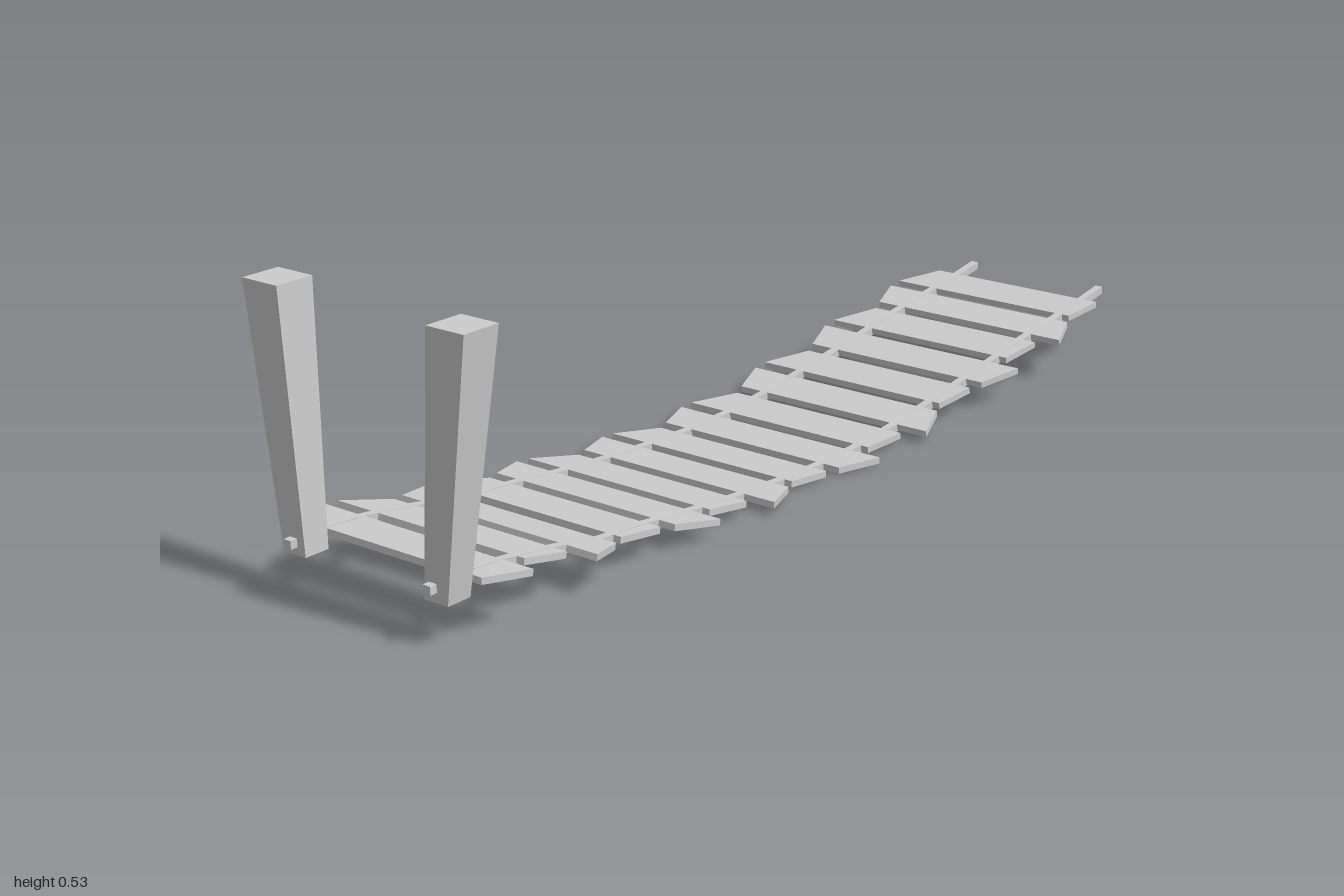
import * as THREE from 'three';

const material = new THREE.MeshStandardMaterial({ color: 0xcccccc, flatShading: true });

// Sagging line of the bridge, as (z, y)
const sag = [
  [-1, 0.116], [-0.89, 0.1], [-0.69, 0.077], [-0.6, 0.063], [-0.4, 0.036], [-0.2, 0.014], [-0.05, 0.008],
  [0.1, 0.012], [0.3, 0.026], [0.5, 0.048], [0.61, 0.056], [0.7, 0.074], [0.82, 0.092], [0.91, 0.1], [1, 0.101],
];
const curve = new THREE.SplineCurve(sag.map(([z, y]) => new THREE.Vector2(z, y)));
const line = curve.getPoints(56);

function heightAt(z) {
  const i = Math.max(1, line.findIndex((p) => p.x >= z));
  const a = line[i - 1], b = line[i];
  return a.y + ((b.y - a.y) * (z - a.x)) / (b.x - a.x);
}

function addMesh(parent, geometry, name) {
  const mesh = new THREE.Mesh(geometry, material);
  mesh.name = name;
  parent.add(mesh);
  return mesh;
}

// Square rope following the sag
function ropeGeometry(width, height) {
  const outline = [
    ...line.map((p) => new THREE.Vector2(p.x, p.y - height / 2)),
    ...line.map((p) => new THREE.Vector2(p.x, p.y + height / 2)).reverse(),
  ];
  const geometry = new THREE.ExtrudeGeometry(new THREE.Shape(outline), { depth: width, bevelEnabled: false });
  return geometry.translate(0, 0, -width / 2).rotateY(-Math.PI / 2);
}

// Board with slanted ends; each end is [x at back edge, x at front edge]
function plankGeometry([leftBack, leftFront], [rightBack, rightFront]) {
  const half = 0.044, thickness = 0.012;
  const shape = new THREE.Shape([
    new THREE.Vector2(leftFront, -half), new THREE.Vector2(rightFront, -half),
    new THREE.Vector2(rightBack, half), new THREE.Vector2(leftBack, half),
  ]);
  const geometry = new THREE.ExtrudeGeometry(shape, { depth: thickness, bevelEnabled: false });
  return geometry.translate(0, 0, -thickness / 2).rotateX(-Math.PI / 2);
}

// Post that widens and leans outward towards the top
function postGeometry(bottom, top) {
  const geometry = new THREE.BoxGeometry(1, 1, 1);
  const p = geometry.attributes.position;
  for (let i = 0; i < p.count; i++) {
    const end = p.getY(i) > 0 ? top : bottom;
    p.setXYZ(i, end.x + p.getX(i) * end.w, end.y, end.z + p.getZ(i) * end.d);
  }
  geometry.computeVertexNormals();
  return geometry;
}

export function createModel() {
  const bridge = new THREE.Group();
  bridge.name = 'ropeBridge';

  // Ropes
  const rope = ropeGeometry(0.016, 0.015);
  addMesh(bridge, rope, 'rightRope').position.x = -0.157;
  addMesh(bridge, rope, 'leftRope').position.x = 0.151;

  // Planks, cycling through three cuts
  const short = plankGeometry([-0.2, -0.245], [0.187, 0.175]);
  const longOut = plankGeometry([-0.245, -0.213], [0.19, 0.225]);
  const longIn = plankGeometry([-0.245, -0.213], [0.222, 0.194]);
  const cuts = [short, longOut, short, longIn];
  const planks = new THREE.Group();
  planks.name = 'planks';
  bridge.add(planks);
  for (let i = 0; i < 16; i++) {
    const z = -0.886 + i * 0.1177;
    const front = heightAt(z + 0.044), back = heightAt(z - 0.044);
    const plank = addMesh(planks, cuts[i % 4], `plank${i + 1}`);
    plank.position.set(0, (front + back) / 2 + 0.001, z);
    plank.rotation.x = -Math.atan2(front - back, 0.088);
  }

  // Posts at the front end
  addMesh(bridge, postGeometry(
    { x: -0.157, y: 0.079, z: 0.96, w: 0.05, d: 0.05 },
    { x: -0.193, y: 0.531, z: 0.959, w: 0.078, d: 0.076 }), 'rightPost');
  addMesh(bridge, postGeometry(
    { x: 0.156, y: 0.076, z: 0.96, w: 0.05, d: 0.05 },
    { x: 0.205, y: 0.527, z: 0.959, w: 0.078, d: 0.076 }), 'leftPost');

  return bridge;
}
